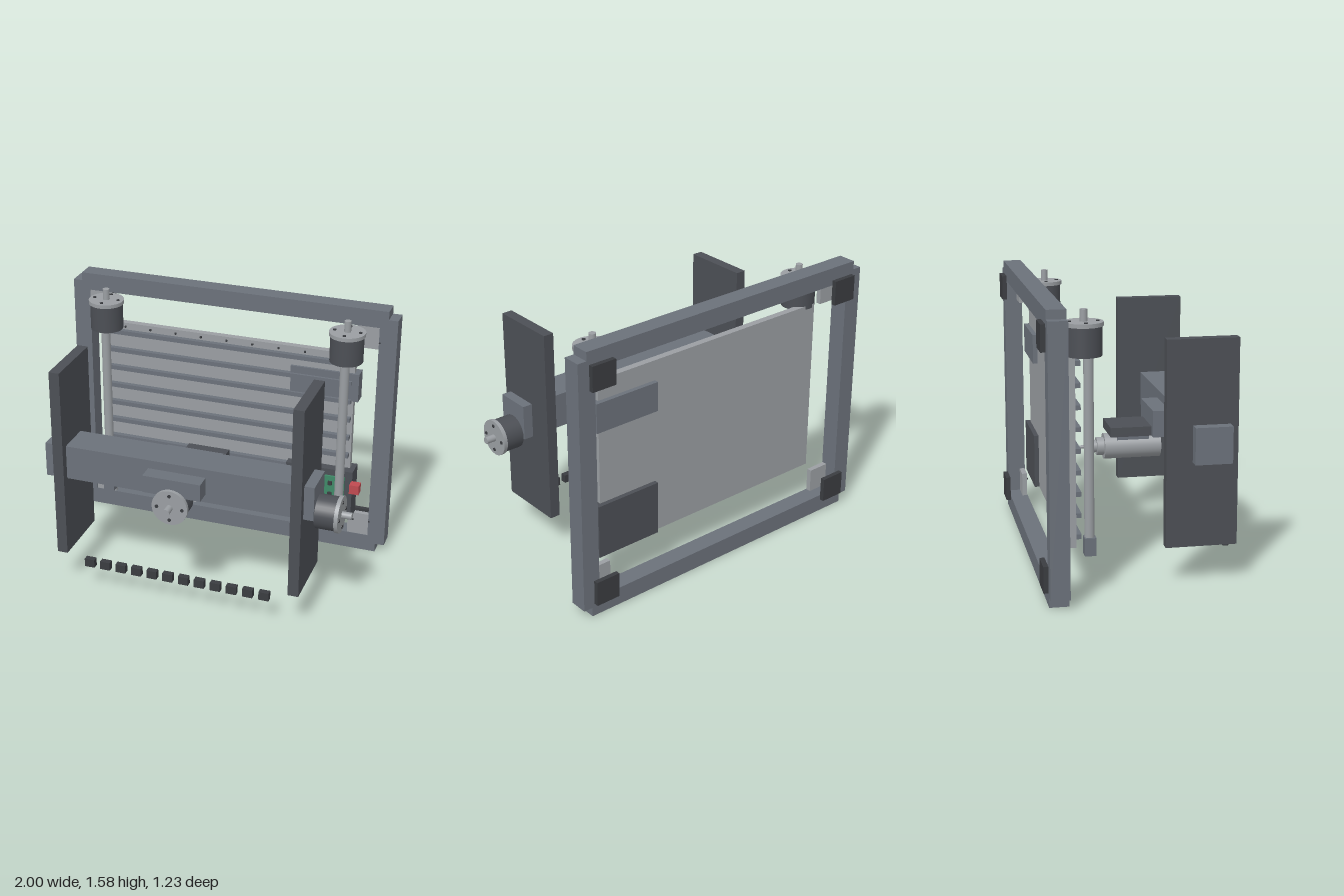
import * as THREE from 'three';

const mat = (color) => new THREE.MeshStandardMaterial({ color });

export function createModel() {
  const root = new THREE.Group();
  const slate = mat(0x6b717a), dark = mat(0x4c4f55), metal = mat(0x9a9ea2);
  const black = mat(0x3a3c40), green = mat(0x3f8a68), red = mat(0xc04a50);

  const add = (geo, name, m, x = 0, y = 0, z = 0, parent = root) => {
    const mesh = new THREE.Mesh(geo, m);
    mesh.name = name;
    mesh.position.set(x, y, z);
    parent.add(mesh);
    return mesh;
  };
  // Box given by its extents
  const box = (name, m, x0, x1, y0, y1, z0, z1, parent) =>
    add(new THREE.BoxGeometry(x1 - x0, y1 - y0, z1 - z0), name, m,
      (x0 + x1) / 2, (y0 + y1) / 2, (z0 + z1) / 2, parent);
  // Cylinder along y from y0 to y1
  const rod = (name, m, r, y0, y1, x = 0, z = 0, parent = root, sides = 32) =>
    add(new THREE.CylinderGeometry(r, r, y1 - y0, sides), name, m, x, (y0 + y1) / 2, z, parent);

  // Motor along +y: body, flange, shaft and four bolts; its origin is at the base
  const motor = (name, bodyLen, shaftEnd) => {
    const g = new THREE.Group();
    g.name = name;
    rod('motorBody', dark, 0.097, 0, bodyLen, 0, 0, g);
    rod('motorFlange', metal, 0.105, bodyLen, bodyLen + 0.022, 0, 0, g);
    rod('motorShaft', metal, 0.02, bodyLen, shaftEnd, 0, 0, g, 20);
    for (let i = 0; i < 4; i++) {
      const a = i * Math.PI / 2;
      rod('motorBolt', black, 0.01, bodyLen, bodyLen + 0.027,
        0.075 * Math.cos(a), 0.075 * Math.sin(a), g, 12);
    }
    root.add(g);
    return g;
  };

  // Upright rectangular frame
  for (const [y0, y1] of [[0, 0.105], [1.475, 1.58]])
    box('frameBeam', slate, -0.945, 0.945, y0, y1, -0.588, -0.482);
  for (const s of [-1, 1]) {
    const post = box('framePost', slate, 0.895, 1, 0.055, 1.53, -0.588, -0.482);
    post.position.x *= s;
    // Corner brackets with screws, and pads behind the corners
    for (const [b0, b1, p0, p1] of [[0.105, 0.247, 0.075, 0.222], [1.34, 1.475, 1.36, 1.505]]) {
      box('cornerBracket', metal, 0.765, 0.895, b0, b1, -0.515, -0.485).position.x *= s;
      box('backPad', black, 0.78, 0.93, p0, p1, -0.615, -0.588).position.x *= s;
      const y = b0 < 1 ? 0.2 : 1.38;
      for (const x of [0.8, 0.9])
        box('bracketScrew', black, x - 0.004, x + 0.004, y, y + 0.008, -0.485, -0.474).position.x *= s;
    }
  }

  // Work bed with slotted strips and screw rows
  box('bedPlate', metal, -0.78, 0.78, 0.265, 1.32, -0.455, -0.415);
  for (let i = 0; i < 9; i++) {
    const y = 0.322 + i * 0.1178;
    box('bedStrip', slate, -0.77, 0.77, y - 0.013, y + 0.013, -0.415, -0.385);
  }
  for (const y of [0.29, 1.297])
    for (let i = 0; i < 9; i++) {
      const x = -0.64 + i * 0.16;
      box('bedScrew', black, x - 0.005, x + 0.005, y - 0.005, y + 0.005, -0.415, -0.405);
    }

  // Lifting columns with motors on top and end blocks below
  for (const s of [-1, 1]) {
    const x = 0.738 * s;
    rod('column', metal, 0.027, 0.25, 1.3, x, -0.338);
    box('columnEndBlock', slate, x - 0.035, x + 0.035, 0.21, 0.31, -0.368, -0.305);
    motor('columnMotor', 0.158, 0.245).position.set(x, 1.3, -0.362);
  }

  // Electronics: control box, power supply, circuit board and button
  box('controlBox', dark, 0.4, 0.81, 0.265, 0.585, -0.482, -0.362);
  box('powerSupply', slate, 0.4, 0.81, 1.03, 1.203, -0.482, -0.4);
  box('circuitBoard', green, 0.44, 0.765, 0.31, 0.545, -0.362, -0.35);
  for (let i = 0; i < 4; i++)
    for (let j = 0; j < 3; j++) {
      const x = 0.49 + i * 0.063, y = 0.355 + j * 0.073;
      box('chip', black, x - 0.012, x + 0.012, y - 0.012, y + 0.012, -0.35, -0.338);
    }
  box('stopButton', red, 0.805, 0.863, 0.47, 0.528, -0.365, -0.31);

  // Gantry: side panels and cross beam
  for (const s of [-1, 1])
    box('sidePanel', dark, 0.67, 0.732, 0.215, 1.365, 0.083, 0.48).position.x *= s;
  box('crossBeam', slate, -0.797, 0.79, 0.69, 0.895, 0.228, 0.435);
  const side = motor('beamMotor', 0.112, 0.19);
  side.rotation.z = -Math.PI / 2;
  side.position.set(0.79, 0.703, 0.335);

  // Tool carriage in front of and behind the beam
  box('carriageFront', slate, -0.17, 0.17, 0.742, 0.845, 0.435, 0.527);
  box('carriageBack', slate, -0.17, 0.17, 0.69, 0.845, 0.13, 0.228);
  box('spindlePlate', dark, -0.125, 0.125, 0.69, 0.745, -0.108, 0.13);
  box('spindleClamp', slate, -0.06, 0.06, 0.655, 0.69, -0.058, 0.13);
  const front = motor('carriageMotor', 0.1, 0.18);
  front.rotation.x = Math.PI / 2;
  front.position.set(0, 0.686, 0.435);

  // Spindle pointing at the bed, narrowing to the cutter
  const spindle = new THREE.Group();
  spindle.name = 'spindle';
  spindle.rotation.x = -Math.PI / 2;
  spindle.position.set(0, 0.61, 0);
  root.add(spindle);
  rod('spindleBody', metal, 0.075, -0.2, 0.13, 0, 0, spindle);
  rod('spindleNose', metal, 0.052, 0.13, 0.172, 0, 0, spindle);
  rod('collet', metal, 0.035, 0.172, 0.215, 0, 0, spindle, 24);
  rod('cutter', metal, 0.01, 0.215, 0.31, 0, 0, spindle, 12);

  // Row of cable chain links below the gantry
  for (let i = 0; i < 12; i++) {
    const x = -0.531 + i * 0.0965;
    box('chainLink', black, x - 0.03, x + 0.03, 0.149, 0.199, 0.447, 0.482);
  }
  return root;
}
